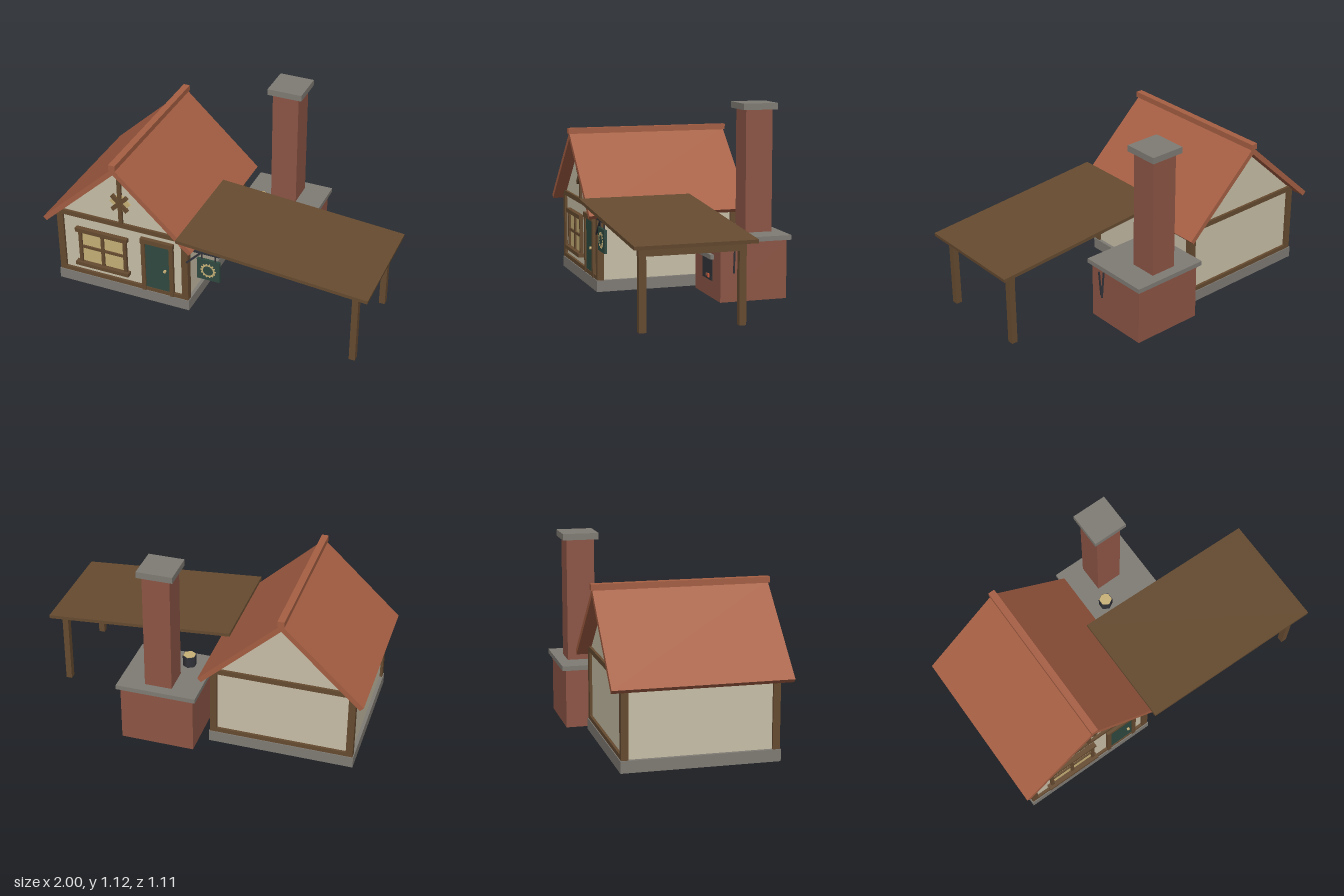
import * as THREE from 'three';

const mat = (name, color) => Object.assign(new THREE.MeshStandardMaterial({ color }), { name });
const M = {
  wood: mat('timber', 0x664b30),
  plaster: mat('plaster', 0xc9c0a8),
  stone: mat('stone', 0x807c75),
  roof: mat('roof tile', 0xa65f43),
  brick: mat('brick', 0x8e5646),
  green: mat('green paint', 0x2f4a40),
  gold: mat('gold', 0xc9b278),
  iron: mat('iron', 0x33343a),
  ember: mat('ember', 0xc4583a),
};

export function createModel() {
  const root = new THREE.Group();
  root.name = 'cottageWithOven';

  const group = (name) => {
    const g = new THREE.Group();
    g.name = name;
    root.add(g);
    return g;
  };
  const add = (parent, name, geo, material) => {
    const m = new THREE.Mesh(geo, material);
    m.name = name;
    parent.add(m);
    return m;
  };
  // box given by its lower and upper bounds on each axis
  const box = (parent, name, material, [x0, x1], [y0, y1], [z0, z1]) => {
    const m = add(parent, name, new THREE.BoxGeometry(x1 - x0, y1 - y0, z1 - z0), material);
    m.position.set((x0 + x1) / 2, (y0 + y1) / 2, (z0 + z1) / 2);
    return m;
  };
  // outline in x and y, pulled from z0 to z1
  const prism = (parent, name, material, pts, z0, z1) => {
    const shape = new THREE.Shape(pts.map(([x, y]) => new THREE.Vector2(x, y)));
    const geo = new THREE.ExtrudeGeometry(shape, { depth: z1 - z0, bevelEnabled: false });
    geo.translate(0, 0, z0);
    return add(parent, name, geo, material);
  };
  // square bar between two points in a plane of constant z
  const bar = (parent, name, material, [xa, ya], [xb, yb], z, w, d) => {
    const m = add(parent, name, new THREE.BoxGeometry(Math.hypot(xb - xa, yb - ya), w, d), material);
    m.position.set((xa + xb) / 2, (ya + yb) / 2, z);
    m.rotation.z = Math.atan2(yb - ya, xb - xa);
    return m;
  };

  const cx = -0.525, front = 0.455, back = -0.415;

  // House body
  const house = group('house');
  box(house, 'foundation', M.stone, [-0.95, -0.1], [0, 0.067], [-0.42, 0.46]);
  prism(house, 'walls', M.plaster, [
    [cx - 0.405, 0.067], [cx + 0.405, 0.067], [cx + 0.405, 0.483], [cx, 0.864], [cx - 0.405, 0.483],
  ], -0.4, 0.44);

  // Timber frame on both gable ends
  for (const [z0, z1] of [[front - 0.04, front], [back, back + 0.04]]) {
    for (const x of [-0.945, -0.145]) box(house, 'cornerPost', M.wood, [x, x + 0.04], [0.067, 0.47], [z0, z1]);
    box(house, 'gableBeam', M.wood, [-0.945, -0.105], [0.468, 0.498], [z0, z1]);
    box(house, 'bottomBeam', M.wood, [-0.905, -0.145], [0.067, 0.092], [z0, z1]);
  }
  box(house, 'gablePost', M.wood, [cx - 0.012, cx + 0.012], [0.498, 0.864], [0.43, front]);

  // Roof
  const roof = group('roof');
  for (const s of [-1, 1]) {
    prism(roof, 'roofSlope', M.roof, [
      [cx, 0.905], [cx + s * 0.475, 0.461], [cx + s * 0.454, 0.44], [cx, 0.864],
    ], -0.475, 0.515);
  }
  box(roof, 'ridgeCap', M.roof, [cx - 0.02, cx + 0.02], [0.897, 0.931], [-0.483, 0.522]);

  // Gable ornament: gold lozenge under a timber cross
  const ornament = group('gableOrnament');
  const lozenge = add(ornament, 'lozenge', new THREE.BoxGeometry(0.094, 0.094, 0.008), M.gold);
  lozenge.position.set(cx, 0.637, 0.443);
  lozenge.rotation.z = Math.PI / 4;
  for (const s of [-1, 1]) {
    bar(ornament, 'crossBar', M.wood, [cx - 0.047, 0.637 - s * 0.047], [cx + 0.047, 0.637 + s * 0.047], 0.452, 0.024, 0.018);
  }

  // Window
  const win = group('window');
  box(win, 'glass', M.gold, [-0.8, -0.505], [0.16, 0.375], [0.44, 0.447]);
  box(win, 'lintel', M.wood, [-0.823, -0.487], [0.372, 0.398], [0.44, 0.468]);
  box(win, 'sill', M.wood, [-0.828, -0.482], [0.137, 0.161], [0.44, 0.475]);
  for (const x of [-0.807, -0.517]) box(win, 'jamb', M.wood, [x, x + 0.02], [0.161, 0.372], [0.44, 0.46]);
  box(win, 'mullion', M.wood, [-0.663, -0.643], [0.161, 0.372], [0.44, 0.457]);
  box(win, 'crossRail', M.wood, [-0.787, -0.517], [0.259, 0.275], [0.44, 0.457]);

  // Door
  const door = group('door');
  box(door, 'doorPanel', M.green, [-0.377, -0.22], [0.092, 0.407], [0.44, 0.452]);
  for (const x of [-0.4, -0.222]) box(door, 'doorJamb', M.wood, [x, x + 0.025], [0.067, 0.407], [0.44, 0.46]);
  box(door, 'doorLintel', M.wood, [-0.402, -0.195], [0.405, 0.435], [0.44, 0.465]);
  const knob = add(door, 'doorKnob', new THREE.CylinderGeometry(0.009, 0.009, 0.014, 8), M.gold);
  knob.position.set(-0.25, 0.237, 0.458);
  knob.rotation.x = Math.PI / 2;

  // Hanging sign with a toothed ring
  const sign = group('hangingSign');
  box(sign, 'signArm', M.iron, [-0.125, 0.1], [0.436, 0.45], [0.453, 0.467]);
  bar(sign, 'signBrace', M.iron, [-0.108, 0.345], [-0.018, 0.437], 0.46, 0.01, 0.01);
  for (const x of [-0.012, 0.072]) box(sign, 'signHanger', M.iron, [x - 0.003, x + 0.003], [0.398, 0.438], [0.457, 0.463]);
  box(sign, 'signBoard', M.green, [-0.04, 0.1], [0.264, 0.4], [0.451, 0.468]);
  const ring = add(sign, 'signRing', new THREE.RingGeometry(0.031, 0.041, 24), M.gold);
  ring.position.set(0.03, 0.332, 0.472);
  for (let i = 0; i < 14; i++) {
    const a = (i / 14) * Math.PI * 2;
    const tooth = add(sign, 'ringTooth', new THREE.BoxGeometry(0.012, 0.008, 0.004), M.gold);
    tooth.position.set(0.03 + Math.cos(a) * 0.041, 0.332 + Math.sin(a) * 0.041, 0.47);
    tooth.rotation.z = a;
  }

  // Brick oven and chimney
  const oven = group('oven');
  box(oven, 'ovenBody', M.brick, [-0.04, 0.393], [0, 0.343], [-0.533, -0.13]);
  box(oven, 'ovenSlab', M.stone, [-0.06, 0.412], [0.343, 0.37], [-0.555, -0.11]);
  box(oven, 'chimney', M.brick, [0.097, 0.257], [0.37, 1.08], [-0.494, -0.332]);
  box(oven, 'chimneyCap', M.stone, [0.072, 0.281], [1.08, 1.117], [-0.518, -0.309]);
  box(oven, 'ovenMouth', M.iron, [0.095, 0.26], [0.1, 0.222], [-0.134, -0.126]);
  box(oven, 'mouthLintel', M.stone, [0.07, 0.283], [0.23, 0.258], [-0.14, -0.109]);
  box(oven, 'emberLeft', M.brick, [0.17, 0.187], [0.117, 0.134], [-0.13, -0.119]);
  box(oven, 'emberRight', M.ember, [0.203, 0.225], [0.115, 0.136], [-0.13, -0.117]);

  // Fire tongs on the oven's side
  for (const s of [-1, 1]) {
    bar(oven, 'tongArm', M.iron, [0.404 - s * 0.007, 0.165], [0.404 + s * 0.007, 0.325], -0.222 + s * 0.012, 0.008, 0.008);
  }

  // Pot on the oven slab
  const pot = group('pot');
  add(pot, 'potBody', new THREE.CylinderGeometry(0.041, 0.041, 0.066, 6).toNonIndexed(), M.iron).position.set(0.077, 0.403, -0.228);
  add(pot, 'potFilling', new THREE.CylinderGeometry(0.038, 0.038, 0.006, 6), M.gold).position.set(0.077, 0.436, -0.228);

  // Lean-to canopy
  const canopy = group('canopy');
  prism(canopy, 'canopyRoof', M.wood, [
    [-0.13, 0.555], [-0.132, 0.535], [0.998, 0.447], [1.0, 0.467],
  ], -0.122, 0.555);
  box(canopy, 'canopyBeam', M.wood, [0.9, 0.936], [0.4, 0.44], [-0.08, 0.514]);
  for (const z of [-0.078, 0.472]) box(canopy, 'canopyPost', M.wood, [0.9, 0.936], [0, 0.4], [z, z + 0.039]);

  return root;
}
